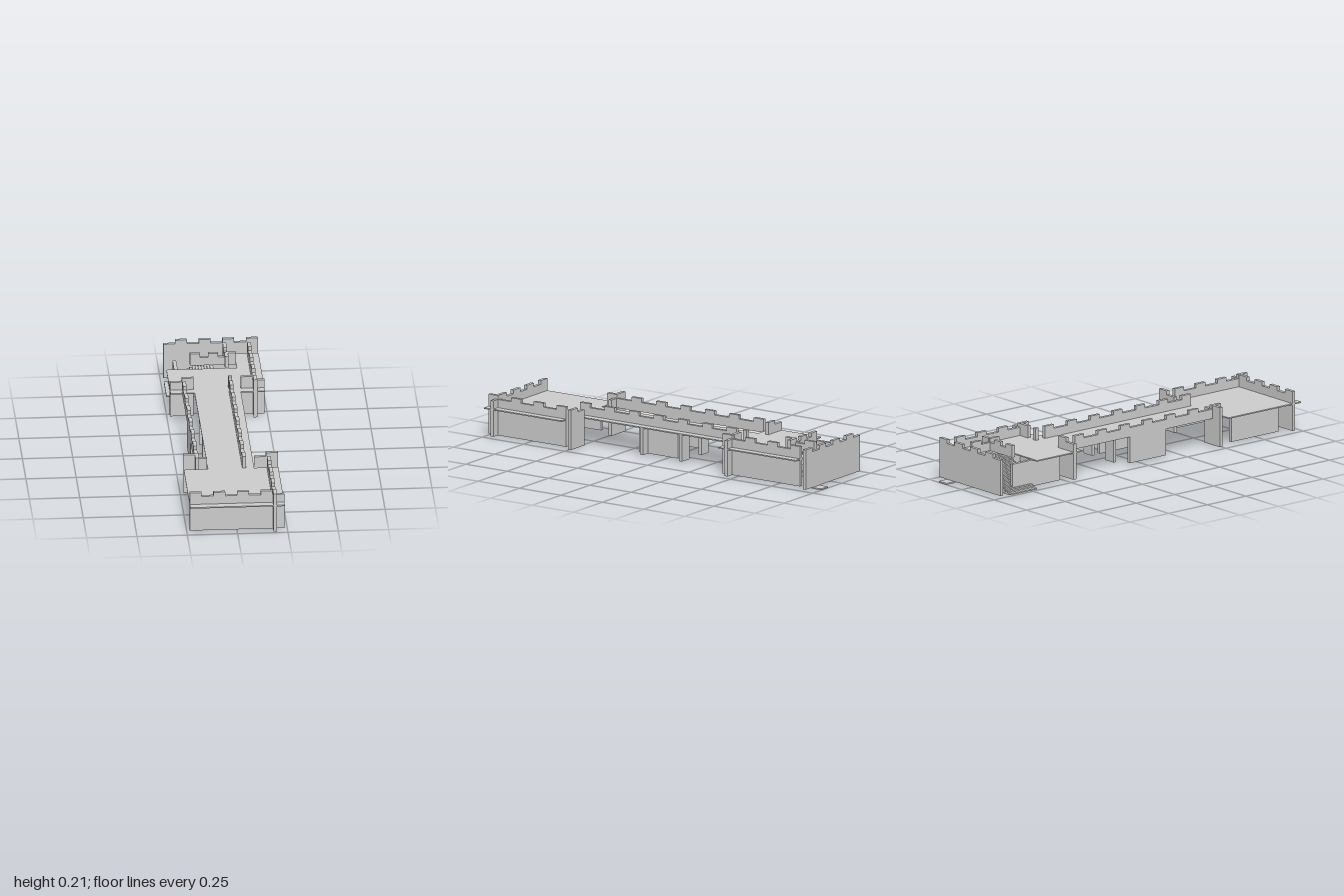
import * as THREE from 'three';

const T = 0.018;              // wall thickness
const BASE = 0.007;           // foot of the walls
const DECK0 = 0.142, DECK1 = 0.148;
const NOTCH = 0.19, TOP = 0.21;
const material = new THREE.MeshStandardMaterial({ color: 0xcccccc, flatShading: true });

export function createModel() {
  const group = new THREE.Group();

  const add = (name, geometry) => {
    const mesh = new THREE.Mesh(geometry, material);
    mesh.name = name;
    group.add(mesh);
  };

  const box = (name, x0, x1, y0, y1, z0, z1) => {
    const g = new THREE.BoxGeometry(x1 - x0, y1 - y0, z1 - z0);
    g.translate((x0 + x1) / 2, (y0 + y1) / 2, (z0 + z1) / 2);
    add(name, g);
  };

  // Crenellated panel running along x or z; merlons is a list of [start, end]
  const wall = (name, axis, at, u0, u1, y0, merlons) => {
    const s = new THREE.Shape();
    s.moveTo(u0, y0);
    s.lineTo(u1, y0);
    if (merlons[merlons.length - 1][1] < u1 - 1e-4) s.lineTo(u1, NOTCH);
    for (const [a, b] of [...merlons].reverse()) {
      if (b < u1 - 1e-4) s.lineTo(b, NOTCH);
      s.lineTo(b, TOP);
      s.lineTo(a, TOP);
      if (a > u0 + 1e-4) s.lineTo(a, NOTCH);
    }
    if (merlons[0][0] > u0 + 1e-4) s.lineTo(u0, NOTCH);
    const g = new THREE.ExtrudeGeometry(s, { depth: T, bevelEnabled: false });
    g.translate(0, 0, -T / 2);
    if (axis === 'z') g.rotateY(-Math.PI / 2).translate(at, 0, 0);
    else g.translate(0, 0, at);
    add(name, g);
  };

  // Evenly spread merlons with one at each end
  const spread = (u0, u1, n, w = 0.059) => Array.from({ length: n }, (_, i) => {
    const a = u0 + i * (u1 - u0 - w) / (n - 1);
    return [a, a + w];
  });

  // Deck: two square platforms joined by the bridge, with a stair opening
  const outline = [
    [-0.235, 1], [0.235, 1], [0.235, 0.53], [0.115, 0.53], [0.115, -0.415], [0.235, -0.415],
    [0.235, -0.885], [0.115, -0.885], [0.115, -0.71], [-0.235, -0.71], [-0.235, -0.415],
    [-0.115, -0.415], [-0.115, 0.53], [-0.235, 0.53],
  ];
  const deck = new THREE.Shape(outline.map(([x, z]) => new THREE.Vector2(x, -z)));
  const deckGeometry = new THREE.ExtrudeGeometry(deck, { depth: DECK1 - DECK0, bevelEnabled: false });
  deckGeometry.rotateX(-Math.PI / 2).translate(0, DECK0, 0);
  add('deck', deckGeometry);

  // End walls, with merlons in opposite rhythm
  const W = 0.235, P = 0.1175;
  const rhythm = (offset) => [0, 1, 2, 3].map((i) => [-W + offset + i * P, -W + offset + i * P + P / 2]);
  wall('frontWall', 'x', 0.952, -W, W, BASE, rhythm(0));
  wall('backWall', 'x', -0.938, -W, W, BASE, rhythm(P / 2));

  // Long side walls of the platforms
  wall('frontSideWall', 'z', 0.187, 0.53, 1, BASE, spread(0.53, 1, 4));
  wall('backSideWall', 'z', 0.187, -0.885, -0.415, BASE, spread(-0.885, -0.415, 4));

  // Short walls under the open side of the platforms
  for (const [name, z0] of [['frontUnderWall', 0.58], ['backUnderWall', -0.835]])
    box(name, -0.196, -0.178, BASE, DECK0, z0, z0 + 0.305);

  // Walls flanking the bridge mouths
  for (const side of [-1, 1]) {
    const [a, b] = side < 0 ? [-W, -0.117] : [0.117, W];
    const outer = side < 0 ? [a, a + 0.059] : [b - 0.059, b];
    const inner = side < 0 ? [b - 0.059, b] : [a, a + 0.059];
    wall('frontFlankWall', 'x', 0.482, a, b, BASE, [outer]);
    wall('backFlankWall', 'x', -0.465, a, b, BASE, [inner]);
  }

  // Bridge parapets with the piers below them
  for (const x of [0.065, -0.168]) {
    wall('bridgeParapet', 'z', x, -0.415, 0.53, DECK0, spread(-0.415, 0.53, 7));
    box('bridgePier', x - T / 2, x + T / 2, BASE, DECK0, -0.06, 0.175);
  }
  for (const z of [0.13, -0.106])
    for (const x of [-0.0835, 0.0835])
      box('pierCrossPanel', x - 0.032, x + 0.032, BASE, DECK0, z - T / 2, z + T / 2);

  // Railings around the stair opening and the lone post
  wall('stairRailing', 'x', -0.762, -0.115, 0.115, DECK1, spread(-0.115, 0.115, 3, 0.05));
  wall('stairSideRailing', 'z', 0.065, -0.885, -0.71, DECK1, spread(-0.885, -0.71, 2));
  box('parapetPost', 0.056, 0.074, DECK1, TOP, -0.475, -0.455);

  // Stair treads rising towards +x
  const steps = 16;
  for (let i = 0; i < steps; i++) {
    const x = -0.215 + i * 0.0132, y = 0.007 + i * 0.0087;
    box('stairTread', x, x + 0.0172, y, y + 0.007, -0.885, -0.71);
  }

  // Ground plates
  box('stairBase', -0.235, -0.06, 0, BASE, -0.885, -0.71);
  box('doorStep', 0.118, 0.177, 0, BASE, -1, -0.94);

  return group;
}
